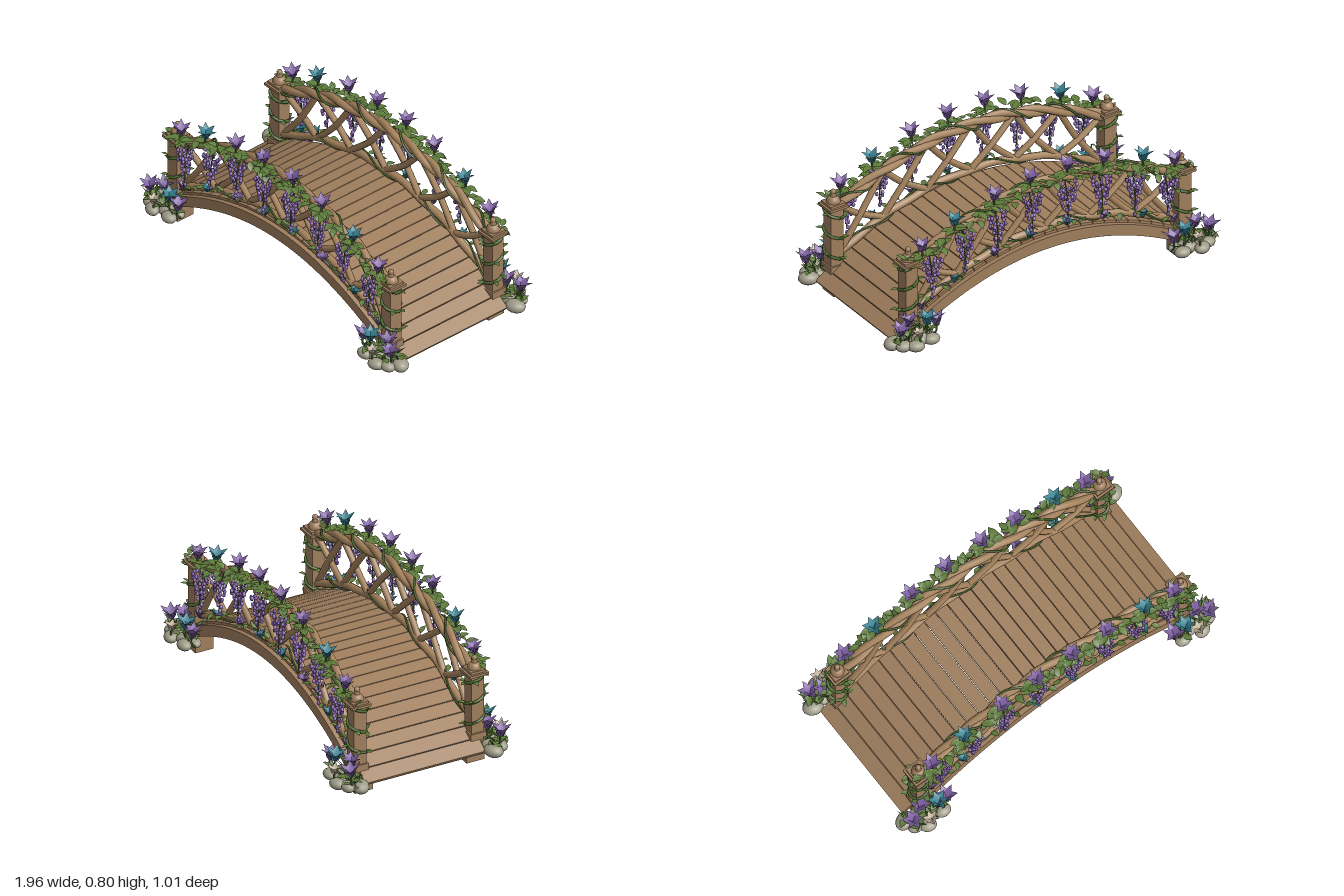
import * as THREE from 'three';
import { mergeGeometries } from 'three/addons/utils/BufferGeometryUtils.js';

const mat = (name, color, side = THREE.FrontSide) => {
  const m = new THREE.MeshStandardMaterial({ color, side });
  m.name = name;
  return m;
};
const V = (x, y, z) => new THREE.Vector3(x, y, z);

// heights of the arched members at x
const deckY = x => 0.387 - 0.37 * x * x;
const lowRailY = x => 0.42 - 0.36 * x * x;
const topRailY = x => 0.68 - 0.34 * x * x;

export function createModel() {
  const root = new THREE.Group();
  root.name = 'gardenBridge';
  const M = {
    wood: mat('wood', 0x9f7e5d),
    branch: mat('branch wood', 0xa5835d),
    vine: mat('vine green', 0x4c6b31, THREE.DoubleSide),
    leaf: mat('leaf green', 0x5e7c3a, THREE.DoubleSide),
    purple: mat('flower purple', 0x8062a4, THREE.DoubleSide),
    teal: mat('flower teal', 0x3a8494, THREE.DoubleSide),
    cream: mat('flower cream', 0xc4b49e, THREE.DoubleSide),
    lilac: mat('blossom lilac', 0x9a78c6),
    violet: mat('blossom violet', 0x7a58a4),
    stone: mat('stone', 0x9f9c88),
  };
  let seed = 7;
  const rnd = (a = 0, b = 1) => {
    seed = (seed * 16807) % 2147483647;
    return a + (b - a) * seed / 2147483647;
  };

  // parts are gathered by name and merged into one mesh each
  const parts = new Map();
  const add = (name, material, geo, x = 0, y = 0, z = 0, rx = 0, ry = 0, rz = 0, s = 1) => {
    const g = geo.index ? geo.toNonIndexed() : geo.clone();
    const scale = typeof s === 'number' ? V(s, s, s) : s;
    const q = new THREE.Quaternion().setFromEuler(new THREE.Euler(rx, ry, rz, 'YXZ'));
    g.applyMatrix4(new THREE.Matrix4().compose(V(x, y, z), q, scale));
    if (!parts.has(name)) parts.set(name, { material, list: [] });
    parts.get(name).list.push(g);
  };
  const box = (name, w, h, d, x, y, z, rz = 0) =>
    add(name, M.wood, new THREE.BoxGeometry(w, h, d), x, y, z, 0, 0, rz);
  const tube = (name, material, pts, r, seg = 12, sides = 7) =>
    add(name, material, new THREE.TubeGeometry(new THREE.CatmullRomCurve3(pts), seg, r, sides));

  // pointed blade growing along +y and curling to +z
  const blade = (len, width, curl) => {
    const g = new THREE.PlaneGeometry(1, 1, 2, 5).translate(0, 0.5, 0);
    const p = g.attributes.position;
    for (let i = 0; i < p.count; i++) {
      const t = p.getY(i);
      const x = p.getX(i) * width * Math.sin(Math.PI * Math.pow(t, 0.85));
      p.setXYZ(i, x, t * len, curl * len * t * t - Math.abs(x) * 0.3);
    }
    g.computeVertexNormals();
    return g;
  };
  const petal = blade(0.074, 0.046, 0.6);
  const leafShape = blade(0.06, 0.038, 0.25), grassShape = blade(0.115, 0.016, 0.45);
  const flowerGeo = mergeGeometries([...Array(6).keys()].map(i =>
    petal.clone().rotateX(i % 2 ? 0.06 : 0.16).rotateY(i * Math.PI / 3)));
  const flower = (kind, x, y, z, s = 1, rx = 0, ry = 0) =>
    add(kind + 'Flowers', M[kind], flowerGeo, x, y, z, rx, ry, 0, s);
  const leaf = (x, y, z, tilt, yaw, s = 1) => add('leaves', M.leaf, leafShape, x, y, z, tilt, yaw, 0, s);

  // deck planks
  const N = 26, pitch = 1.82 / N;
  for (let i = 0; i < N; i++) {
    const x = -0.91 + (i + 0.5) * pitch, a = Math.atan(-0.74 * x);
    box('deckPlanks', (pitch - 0.0035) / Math.cos(a), 0.022, 0.676, x, deckY(x) - 0.011, 0, a);
  }

  // arched side beam
  const outline = [];
  for (let i = 0; i <= 32; i++) { const x = -0.83 + i * 0.051875; outline.push(new THREE.Vector2(x, deckY(x) - 0.014)); }
  for (let i = 32; i >= 0; i--) { const x = -0.83 + i * 0.051875; outline.push(new THREE.Vector2(x, deckY(x) - 0.077)); }
  const beam = new THREE.ExtrudeGeometry(new THREE.Shape(outline), { depth: 0.055, bevelEnabled: false });
  const dome = new THREE.SphereGeometry(0.036, 16, 8, 0, Math.PI * 2, 0, Math.PI / 2);
  const bud = new THREE.SphereGeometry(0.0095, 6, 4);
  const pebble = new THREE.SphereGeometry(1, 14, 10);

  for (const sz of [-1, 1]) {
    const Z = sz * 0.328;
    add('sideBeams', M.wood, beam, 0, 0, sz * 0.335 - 0.0275);

    // twisted top rail of two branches, lower rail, and vines wound along both
    const along = (n, half, fy, offset, turns, phase) => [...Array(n + 1).keys()].map(i => {
      const x = -half + 2 * half * i / n, a = phase + turns * 2 * Math.PI * i / n;
      return V(x, fy(x) + offset * Math.cos(a), Z + offset * Math.sin(a));
    });
    for (const ph of [0, Math.PI])
      tube('topRails', M.branch, along(60, 0.79, topRailY, 0.013, 4, ph), 0.02, 90, 8);
    tube('lowerRails', M.branch, along(30, 0.8, lowRailY, 0.004, 5, 0), 0.02, 60, 8);
    tube('railVines', M.vine, along(72, 0.79, topRailY, 0.033, 5, 1), 0.006, 150, 5);
    tube('railVines', M.vine, along(64, 0.79, lowRailY, 0.024, 4, 2), 0.005, 130, 5);

    // crossed lattice branches
    for (let i = 0; i < 6; i++) {
      const a = -0.78 + i * 0.26, b = a + 0.26;
      for (const [p, q, o] of [[a, b, 0.008], [b, a, -0.008]]) {
        const m = (p + q) / 2, my = (lowRailY(p) + topRailY(q)) / 2;
        tube('latticeBranches', M.branch,
          [V(p, lowRailY(p), Z), V(m + 0.012, my - 0.012, Z + o), V(q, topRailY(q), Z)], 0.017, 10, 7);
      }
    }

    // leaves along the rails
    for (let i = 0; i < 44; i++) {
      const x = -0.78 + 1.56 * (i + 0.5) / 44, out = sz > 0 ? 0 : Math.PI;
      leaf(x, topRailY(x) + rnd(0.01, 0.035), Z + sz * rnd(0.01, 0.04), rnd(0.9, 1.7), out + rnd(-1.6, 1.6), rnd(0.8, 1.2));
      leaf(x, topRailY(x) + rnd(-0.03, 0.02), Z + sz * 0.03, rnd(1, 2), out + rnd(-1.4, 1.4), 0.95);
      if (i % 2) leaf(x, lowRailY(x) + 0.01, Z + sz * 0.02, rnd(0.7, 1.8), out + rnd(-1.4, 1.4), 0.8);
    }

    for (const sx of [-1, 1]) {
      // upright flowers on the rails
      [0.11, 0.325, 0.56, 0.75].forEach((fx, i) => {
        const x = sx * fx, y = topRailY(x), kind = i === 2 ? 'teal' : 'purple', z = sz * 0.366;
        tube('flowerStems', M.vine, [V(x, y, Z), V(x, y + 0.025, z), V(x, y + 0.055, z)], 0.005, 5, 5);
        flower(kind, x, y + 0.05, z, 1, sz * 0.1, i);
        for (const yaw of [-1.9, -1.1, 1.1, 1.9]) leaf(x, y + 0.03, z, 1.35, yaw, 1.15);
        flower(i % 2 ? 'purple' : 'teal', x, lowRailY(x) - 0.01, sz * 0.36, 0.68, sz * 0.25, i);
      });

      // hanging blossom clusters, broad at the top
      [0.105, 0.31, 0.505, 0.7].forEach((fx, c) => {
        const x = sx * fx, top = topRailY(x) - 0.035, rows = 10;
        tube('flowerStems', M.vine, [V(x, top + 0.04, sz * 0.35), V(x, top - 0.08, sz * 0.378), V(x, top - 0.19, sz * 0.38)], 0.004, 6, 5);
        for (let j = 0; j < rows; j++) {
          const t = j / (rows - 1), n = Math.max(1, Math.round(9 * Math.pow(1 - t, 1.2)));
          const r = 0.054 * Math.pow(1 - t, 0.9);
          for (let k = 0; k < n; k++) {
            const a = k / n * Math.PI * 2 + j * 0.9 + c;
            const deep = (j + k) % 3 === 0, rr = r * rnd(0.7, 1.05);
            add(deep ? 'violetBlossoms' : 'lilacBlossoms', deep ? M.violet : M.lilac, bud,
              x + rr * Math.cos(a), top - j * 0.0225 + rnd(-0.01, 0.01), sz * 0.379 + rr * 0.65 * Math.sin(a),
              0, a, 0, V(1, 1.3, 1));
          }
        }
      });

      // post with foot, collar, cap and finial
      const px = sx * 0.812, pz = sz * 0.332;
      box('postFeet', 0.084, 0.1, 0.102, px, 0.05, sz * 0.316);
      box('posts', 0.072, 0.39, 0.07, px, 0.295, pz);
      box('postCollars', 0.088, 0.04, 0.088, px, 0.135, pz);
      box('postCaps', 0.108, 0.014, 0.108, px, 0.485, pz);
      box('postCaps', 0.086, 0.014, 0.086, px, 0.499, pz);
      add('finials', M.wood, dome, px, 0.506, pz);
      add('finials', M.wood, new THREE.CylinderGeometry(0.012, 0.016, 0.022, 10), px, 0.549, pz);
      add('finials', M.wood, new THREE.SphereGeometry(0.015, 10, 8), px, 0.562, pz);

      // vine climbing the post
      const climb = [...Array(37).keys()].map(i => {
        const a = i / 36 * Math.PI * 6 + 1;
        return V(px + sx * 0.048 * Math.cos(a), 0.13 + i * 0.0097, pz + sz * 0.048 * Math.sin(a));
      });
      tube('postVines', M.vine, climb, 0.008, 90, 6);
      climb.forEach((p, i) => {
        if (i % 2) leaf(p.x, p.y, p.z, rnd(0.6, 1.5), Math.atan2(p.x - px, p.z - pz) + rnd(-0.7, 0.7), 0.7);
      });
      for (let i = 0; i < 8; i++)
        leaf(px + rnd(-0.04, 0.04), rnd(0.47, 0.53), pz + sz * rnd(0.02, 0.05), rnd(0.4, 1.6), rnd(0, 6.28), 0.9);

      // stones at the foot of the post: x, z, radius
      [[0.93, 0.375, 0.045], [0.9, 0.43, 0.037], [0.85, 0.462, 0.038], [0.79, 0.41, 0.045],
        [0.745, 0.445, 0.037], [0.735, 0.385, 0.03], [0.87, 0.385, 0.038]].forEach(([x, z, r], i) =>
        add('stones', M.stone, pebble, sx * x, 0.081, sz * z, 0, sx * sz * (i % 3 - 1) * 0.4, 0, V(r * 1.2, r * 0.74, r * 0.95)));

      // flowers, grass and leaves among the stones
      [['purple', 0.915, 0.42, 0.135], ['purple', 0.85, 0.385, 0.155], ['teal', 0.765, 0.43, 0.155],
        ['purple', 0.705, 0.425, 0.13], ['cream', 0.83, 0.47, 0.12]].forEach(([kind, x, z, y], i) => {
        tube('flowerStems', M.vine, [V(sx * x, 0.08, sz * (z - 0.02)), V(sx * x, y * 0.8, sz * z), V(sx * x, y + 0.01, sz * z)], 0.005, 4, 5);
        flower(kind, sx * x, y, sz * z, kind === 'cream' ? 0.8 : 1.05, sz * 0.12, i);
      });
      for (let i = 0; i < 22; i++) {
        const x = sx * rnd(0.72, 0.94), z = sz * rnd(0.375, 0.44);
        add('grass', M.vine, grassShape, x, 0.085, z, rnd(0.05, 0.5), rnd(0, 6.28), 0, rnd(0.6, 0.95));
        leaf(x, rnd(0.095, 0.12), z, rnd(0.7, 1.4), rnd(0, 6.28), 0.95);
      }
    }
  }

  for (const [name, { material, list }] of parts) {
    const mesh = new THREE.Mesh(mergeGeometries(list), material);
    mesh.name = name;
    root.add(mesh);
  }
  return root;
}
